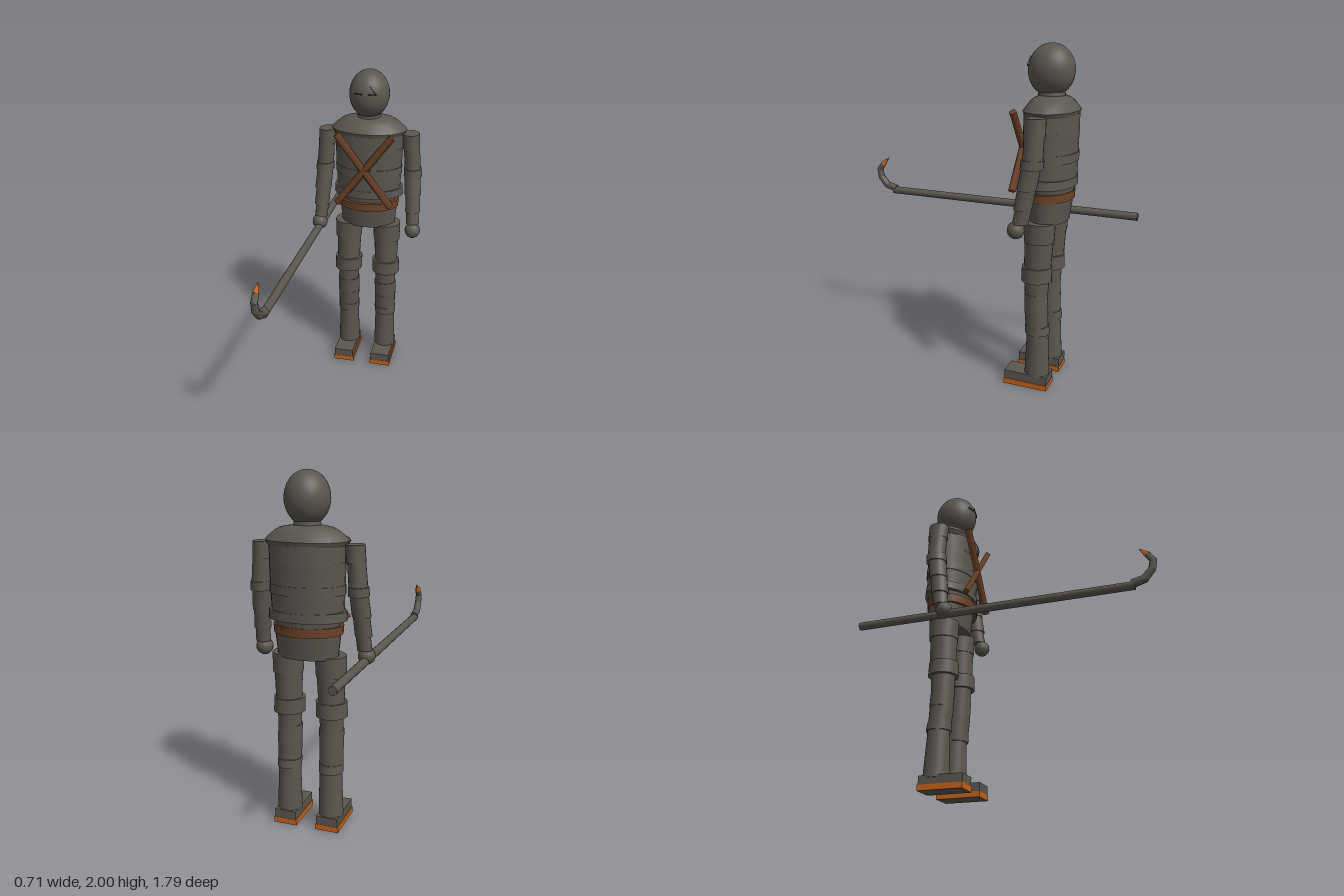
import * as THREE from 'three';
import { mergeVertices, toCreasedNormals } from 'three/addons/utils/BufferGeometryUtils.js';

const mat = (name, color) => {
  const m = new THREE.MeshStandardMaterial({ color });
  m.name = name;
  return m;
};

// Closed solid through horizontal ellipse rings [x, y, z, rx, rz], listed bottom to top
function loft(rings, seg = 24) {
  const pos = [], idx = [];
  for (const [x, y, z, rx, rz] of rings) {
    for (let i = 0; i < seg; i++) {
      const a = (i / seg) * Math.PI * 2;
      pos.push(x + Math.sin(a) * rx, y, z + Math.cos(a) * rz);
    }
  }
  const last = rings.length - 1;
  for (let r = 0; r < last; r++) {
    for (let i = 0; i < seg; i++) {
      const j = (i + 1) % seg, a = r * seg + i, b = r * seg + j;
      idx.push(a, b, b + seg, a, b + seg, a + seg);
    }
  }
  for (let i = 1; i < seg - 1; i++) {
    idx.push(0, i + 1, i, last * seg, last * seg + i, last * seg + i + 1);
  }
  const g = new THREE.BufferGeometry();
  g.setAttribute('position', new THREE.Float32BufferAttribute(pos, 3));
  g.setIndex(idx);
  return toCreasedNormals(mergeVertices(g), 0.5);
}

export function createModel() {
  const model = new THREE.Group();
  model.name = 'figure';
  const cloth = mat('charcoal cloth', 0x5a564f);
  const leather = mat('brown leather', 0x6e4228);
  const orange = mat('orange trim', 0xc4621c);
  const dark = mat('dark marks', 0x2a2826);

  const add = (name, geo, material, parent = model) => {
    const m = new THREE.Mesh(geo, material);
    m.name = name;
    parent.add(m);
    return m;
  };
  const box = (name, size, at, material, parent) => {
    const m = add(name, new THREE.BoxGeometry(...size), material, parent);
    m.position.set(...at);
    return m;
  };

  // Head and neck
  const head = add('head', new THREE.SphereGeometry(1, 32, 24), cloth);
  head.scale.set(0.122, 0.145, 0.132);
  head.position.set(0, 1.855, -0.435);
  add('neck', loft([[0, 1.68, -0.44, 0.08, 0.08], [0, 1.74, -0.44, 0.07, 0.075]]), cloth);

  // Face marks
  for (const s of [-1, 1]) {
    box('eye', [0.05, 0.007, 0.009], [s * 0.042, 1.878, -0.312], dark).rotation.y = s * 0.3;
  }
  const scar = box('scar', [0.06, 0.007, 0.009], [0.042, 1.905, -0.319], dark);
  scar.rotation.set(-0.35, 0.3, -0.85);

  // Torso wrappings
  const Z = -0.445;
  const torso = [
    ['hips', 1.01, 1.15, 0.172, 0.112, 0.187, 0.13],
    ['waist', 1.18, 1.23, 0.18, 0.135, 0.19, 0.14],
    ['waistBand', 1.22, 1.27, 0.222, 0.152, 0.218, 0.15],
    ['belly', 1.26, 1.37, 0.202, 0.147, 0.207, 0.149],
    ['chestBand', 1.36, 1.41, 0.212, 0.154, 0.212, 0.154],
    ['chest', 1.4, 1.53, 0.208, 0.149, 0.213, 0.15],
    ['upperChest', 1.52, 1.62, 0.21, 0.152, 0.214, 0.15],
  ];
  for (const [name, y0, y1, x0, z0, x1, z1] of torso) {
    add(name, loft([[0, y0, Z, x0, z0], [0, y1, Z, x1, z1]]), cloth);
  }
  add('mantle', loft([
    [0, 1.615, Z, 0.22, 0.147], [0, 1.64, Z, 0.235, 0.154], [0, 1.66, Z, 0.215, 0.14],
    [0, 1.69, Z, 0.178, 0.118], [0, 1.705, Z, 0.15, 0.1], [0, 1.718, Z, 0.08, 0.075],
  ]), cloth);
  add('belt', loft([[0, 1.14, -0.436, 0.194, 0.147], [0, 1.19, -0.436, 0.198, 0.149]]), leather);

  // Crossed chest straps
  for (const s of [-1, 1]) {
    const strap = add('chestStrap', new THREE.CylinderGeometry(0.023, 0.023, 0.56, 4), leather);
    strap.position.set(0, 1.415, -0.275);
    strap.rotation.z = s * 0.65;
  }

  // Limb pieces: [name, y0, z0, y1, z1, x0, x1, radii bottom x/z, radii top x/z]
  const legParts = [
    ['ankleWrap', 0.07, 0.36, -0.435, -0.432, 0.071, 0.075, 0.064, 0.062],
    ['shinBand', 0.34, 0.39, -0.432, -0.428, 0.07, 0.073, 0.07, 0.07],
    ['shin', 0.38, 0.49, -0.427, -0.42, 0.068, 0.066, 0.069, 0.069],
    ['calf', 0.48, 0.59, -0.422, -0.417, 0.07, 0.069, 0.071, 0.068],
    ['lowerKnee', 0.585, 0.68, -0.42, -0.42, 0.066, 0.068, 0.068, 0.072],
    ['kneeBand', 0.67, 0.755, -0.419, -0.419, 0.09, 0.089, 0.088, 0.087],
    ['thigh', 0.745, 0.92, -0.423, -0.428, 0.073, 0.078, 0.079, 0.083],
    ['thighBand', 0.905, 1.02, -0.428, -0.43, 0.085, 0.087, 0.088, 0.09],
  ];
  const armParts = [
    ['wrist', 1.05, 1.14, -0.375, -0.392, 0.301, 0.295, 0.041, 0.046],
    ['forearm', 1.13, 1.25, -0.386, -0.406, 0.297, 0.289, 0.047, 0.051],
    ['upperForearm', 1.24, 1.365, -0.404, -0.425, 0.291, 0.281, 0.052, 0.054],
    ['elbowBand', 1.355, 1.405, -0.428, -0.432, 0.283, 0.281, 0.057, 0.064],
    ['upperArm', 1.395, 1.55, -0.432, -0.434, 0.28, 0.269, 0.051, 0.056],
    ['shoulderWrap', 1.53, 1.625, -0.434, -0.434, 0.267, 0.263, 0.053, 0.061],
  ];
  for (const s of [-1, 1]) {
    const side = s > 0 ? 'left' : 'right';

    // Leg with boot
    const leg = new THREE.Group();
    leg.name = side + 'Leg';
    model.add(leg);
    for (const [name, y0, y1, z0, z1, rx0, rz0, rx1, rz1] of legParts) {
      add(name, loft([[s * 0.127, y0, z0, rx0, rz0], [s * 0.125, y1, z1, rx1, rz1]]), cloth, leg);
    }
    box('boot', [0.126, 0.05, 0.262], [s * 0.127, 0.058, -0.381], cloth, leg);
    box('sole', [0.138, 0.033, 0.266], [s * 0.127, 0.0165, -0.381], orange, leg);
    // Dark underside of the sole
    box('soleBase', [0.136, 0.003, 0.264], [s * 0.127, 0.0012, -0.381], cloth, leg);

    // Arm with fist
    const arm = new THREE.Group();
    arm.name = side + 'Arm';
    model.add(arm);
    for (const [name, y0, y1, z0, z1, x0, x1, rx, rz] of armParts) {
      add(name, loft([[s * x0, y0, z0, rx, rz], [s * x1, y1, z1, rx * 0.96, rz]], 20), cloth, arm);
    }
    const fist = add('fist', new THREE.SphereGeometry(0.05, 12, 8), cloth, arm);
    fist.position.set(s * 0.305, 1.013, -0.352);
  }

  // Long staff with a hooked head and sharp tip
  const staff = new THREE.Group();
  staff.name = 'hookedStaff';
  staff.position.x = -0.305;
  model.add(staff);
  const shaft = add('shaft', new THREE.CylinderGeometry(0.024, 0.024, 1.66, 16), cloth, staff);
  shaft.rotation.x = Math.PI / 2;
  shaft.position.set(0, 0.987, -0.068);

  const path = [[1.0, 0.75], [1.018, 0.815], [1.07, 0.859], [1.122, 0.87], [1.16, 0.843]]
    .map(([y, z]) => new THREE.Vector3(0, y, z));
  const up = new THREE.Vector3(0, 1, 0);
  for (let i = 0; i < path.length - 1; i++) {
    const d = path[i + 1].clone().sub(path[i]);
    const r = 0.026 - i * 0.002;
    const piece = add('hookSegment', new THREE.CylinderGeometry(r - 0.002, r, d.length() + 0.01, 8), cloth, staff);
    piece.position.copy(path[i]).addScaledVector(d, 0.5);
    piece.quaternion.setFromUnitVectors(up, d.normalize());
  }
  const tip = add('hookTip', new THREE.ConeGeometry(0.02, 0.066, 8), orange, staff);
  tip.position.set(0, 1.185, 0.819);
  tip.quaternion.setFromUnitVectors(up, new THREE.Vector3(0, 0.7, -0.7).normalize());

  return model;
}
